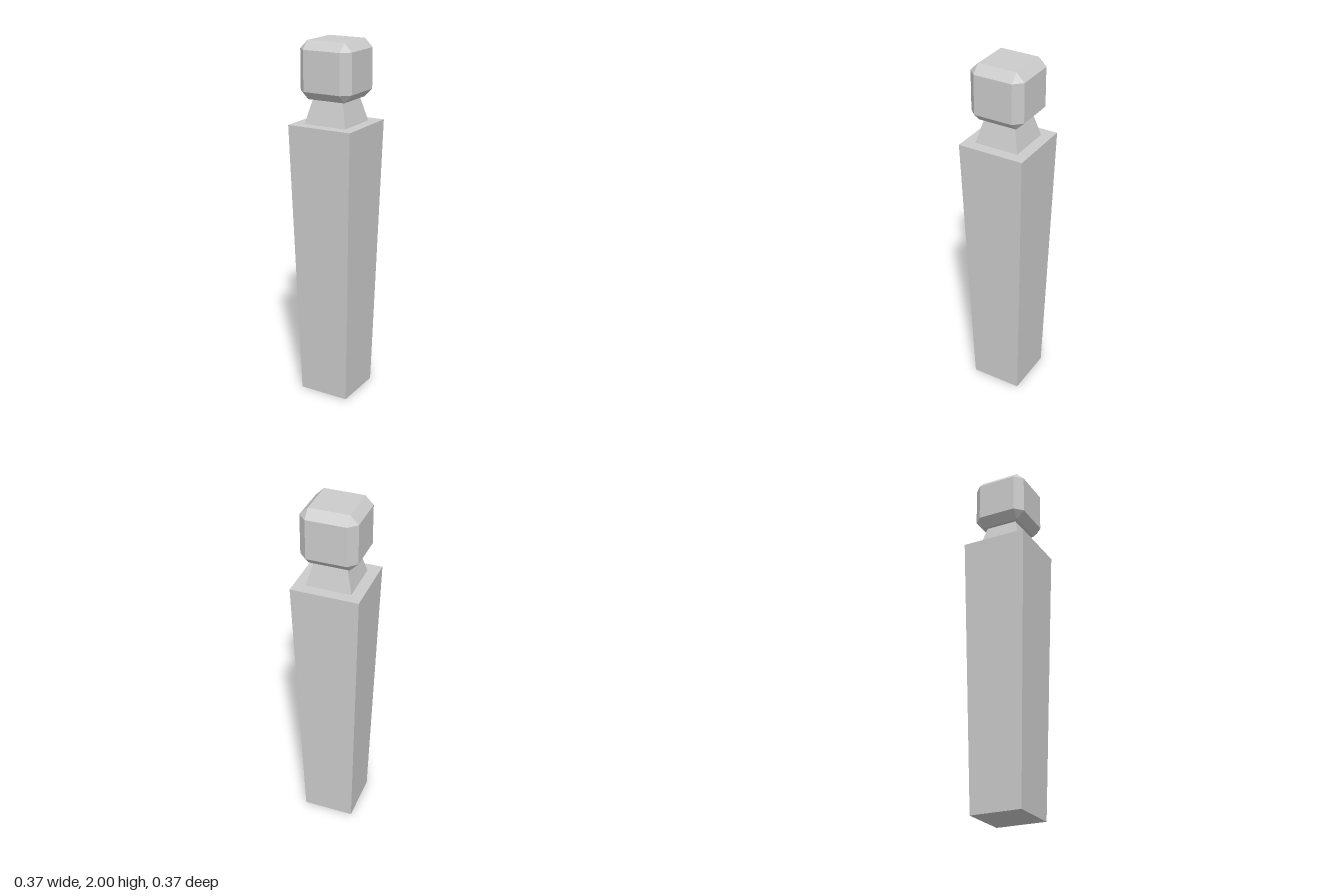
import * as THREE from 'three';
import { ConvexGeometry } from 'three/addons/geometries/ConvexGeometry.js';

const material = new THREE.MeshStandardMaterial({ color: 0xcccccc, flatShading: true });

// Square tapered block between two heights, given half-widths at each end
function taperedBlock(name, y0, y1, halfBottom, halfTop) {
  const geometry = new THREE.CylinderGeometry(
    halfTop * Math.SQRT2, halfBottom * Math.SQRT2, y1 - y0, 4);
  geometry.rotateY(Math.PI / 4);
  geometry.translate(0, (y0 + y1) / 2, 0);
  const mesh = new THREE.Mesh(geometry, material);
  mesh.name = name;
  return mesh;
}

// Cube with every edge cut at 45 degrees and triangular corners
function chamferedCube(name, half, chamfer, centreY) {
  const inner = half - chamfer;
  const points = [];
  for (const x of [-1, 1]) for (const y of [-1, 1]) for (const z of [-1, 1]) {
    points.push(
      new THREE.Vector3(x * half, y * inner, z * inner),
      new THREE.Vector3(x * inner, y * half, z * inner),
      new THREE.Vector3(x * inner, y * inner, z * half));
  }
  const mesh = new THREE.Mesh(new ConvexGeometry(points), material);
  mesh.name = name;
  mesh.position.y = centreY;
  return mesh;
}

export function createModel() {
  const post = new THREE.Group();
  post.name = 'post';
  post.add(
    taperedBlock('shaft', 0, 1.56, 0.145, 0.186),
    taperedBlock('neck', 1.56, 1.692, 0.124, 0.09),
    chamferedCube('finial', 0.154, 0.045, 1.846));
  return post;
}
